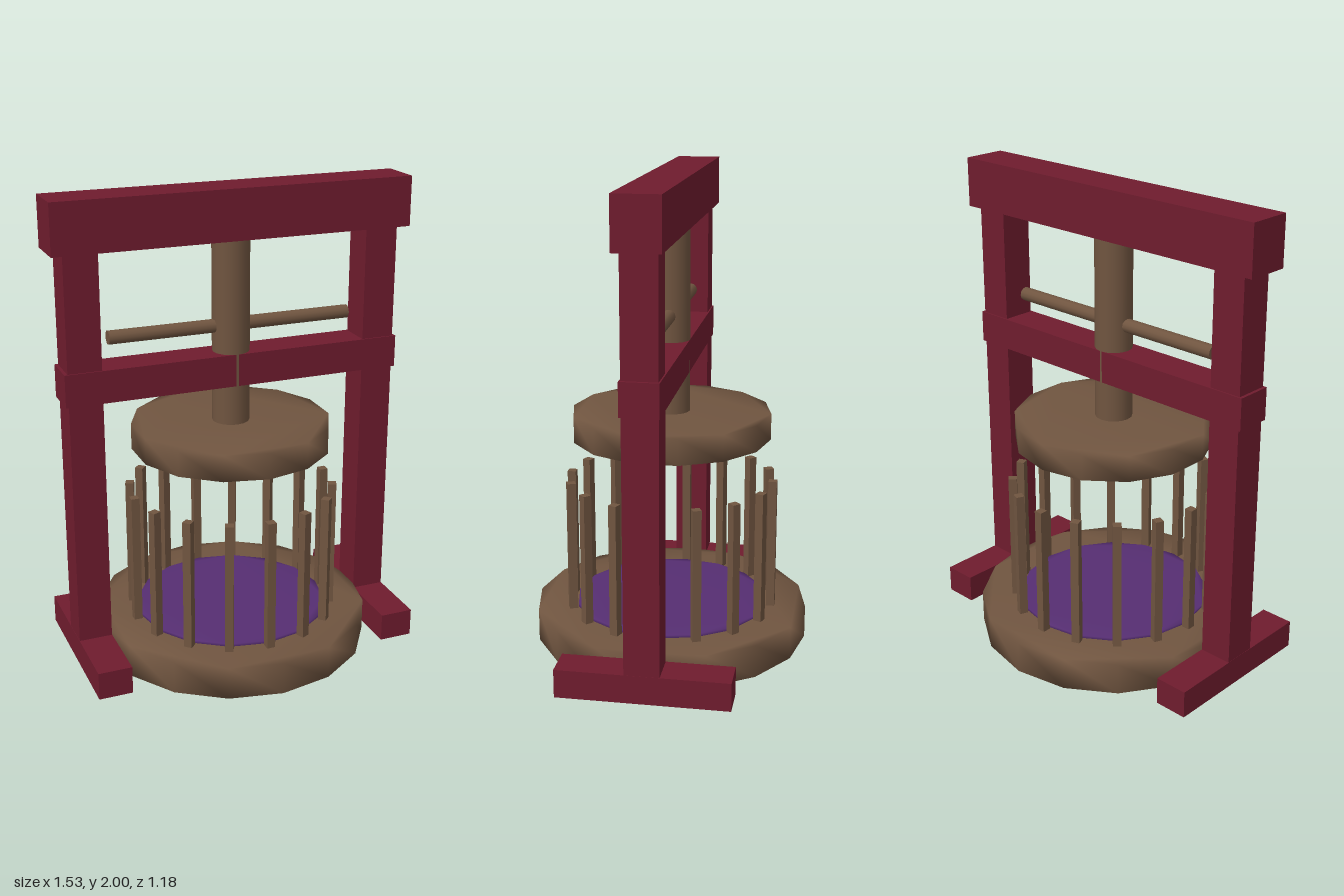
import * as THREE from 'three';
import { mergeVertices } from 'three/addons/utils/BufferGeometryUtils.js';

const paint = (color) => new THREE.MeshStandardMaterial({ color });
const red = paint(0x6f1c2e);
const brown = paint(0x705540);
const purple = paint(0x562e72);

export function createModel() {
  const model = new THREE.Group();

  const add = (name, geometry, material, x = 0, y = 0, z = 0) => {
    const mesh = new THREE.Mesh(geometry, material);
    mesh.name = name;
    mesh.position.set(x, y, z);
    model.add(mesh);
    return mesh;
  };

  // Box given by its size and its bottom and top heights
  const beam = (name, width, bottom, top, depth, x = 0) =>
    add(name, new THREE.BoxGeometry(width, top - bottom, depth), red, x, (bottom + top) / 2);

  // Polygonal disc with normals blended over its rim, a corner pointing to +z
  const disc = (name, radius, sides, bottom, top, material) => {
    const corners = [];
    for (let i = 0; i < sides; i++) {
      const a = (i / sides) * Math.PI * 2;
      corners.push(new THREE.Vector2(Math.sin(a) * radius, Math.cos(a) * radius));
    }
    let geometry = new THREE.ExtrudeGeometry(new THREE.Shape(corners), {
      depth: top - bottom, bevelEnabled: false,
    });
    geometry.rotateX(-Math.PI / 2);
    geometry.rotateY(Math.PI);
    geometry.deleteAttribute('normal');
    geometry.deleteAttribute('uv');
    geometry = mergeVertices(geometry, 1e-4);
    geometry.computeVertexNormals();
    return add(name, geometry, material, 0, bottom, 0);
  };

  // Frame: feet, posts and two cross beams
  for (const side of [-1, 1]) {
    const label = side > 0 ? 'left' : 'right';
    beam(label + 'Foot', 0.144, 0, 0.12, 0.71, side * 0.648);
    beam(label + 'Post', 0.142, 0.1, 1.8, 0.144, side * 0.648);
  }
  beam('topBeam', 1.535, 1.79, 2, 0.188);
  beam('middleBeam', 1.465, 1.175, 1.312, 0.156);

  // Tub base with the fruit pulp lying on it
  disc('base', 0.59, 16, 0, 0.14, brown);
  disc('pulp', 0.415, 16, 0.13, 0.152, purple);

  // Ring of upright slats
  const slats = 16;
  for (let i = 0; i < slats; i++) {
    const a = (i / slats) * Math.PI * 2;
    const slat = add('slat', new THREE.BoxGeometry(0.036, 0.58, 0.036), brown,
      Math.sin(a) * 0.438, 0.42, Math.cos(a) * 0.438);
    slat.rotation.y = a;
  }

  // Press plate, screw and turning bar
  disc('pressPlate', 0.425, 14, 0.893, 1.005, brown);
  add('screw', new THREE.CylinderGeometry(0.079, 0.079, 0.82, 16), brown, 0, 1.4, 0);
  const bar = add('turningBar', new THREE.CylinderGeometry(0.029, 0.029, 1.06, 12), brown, 0, 1.423, 0);
  bar.rotation.z = Math.PI / 2;

  return model;
}
